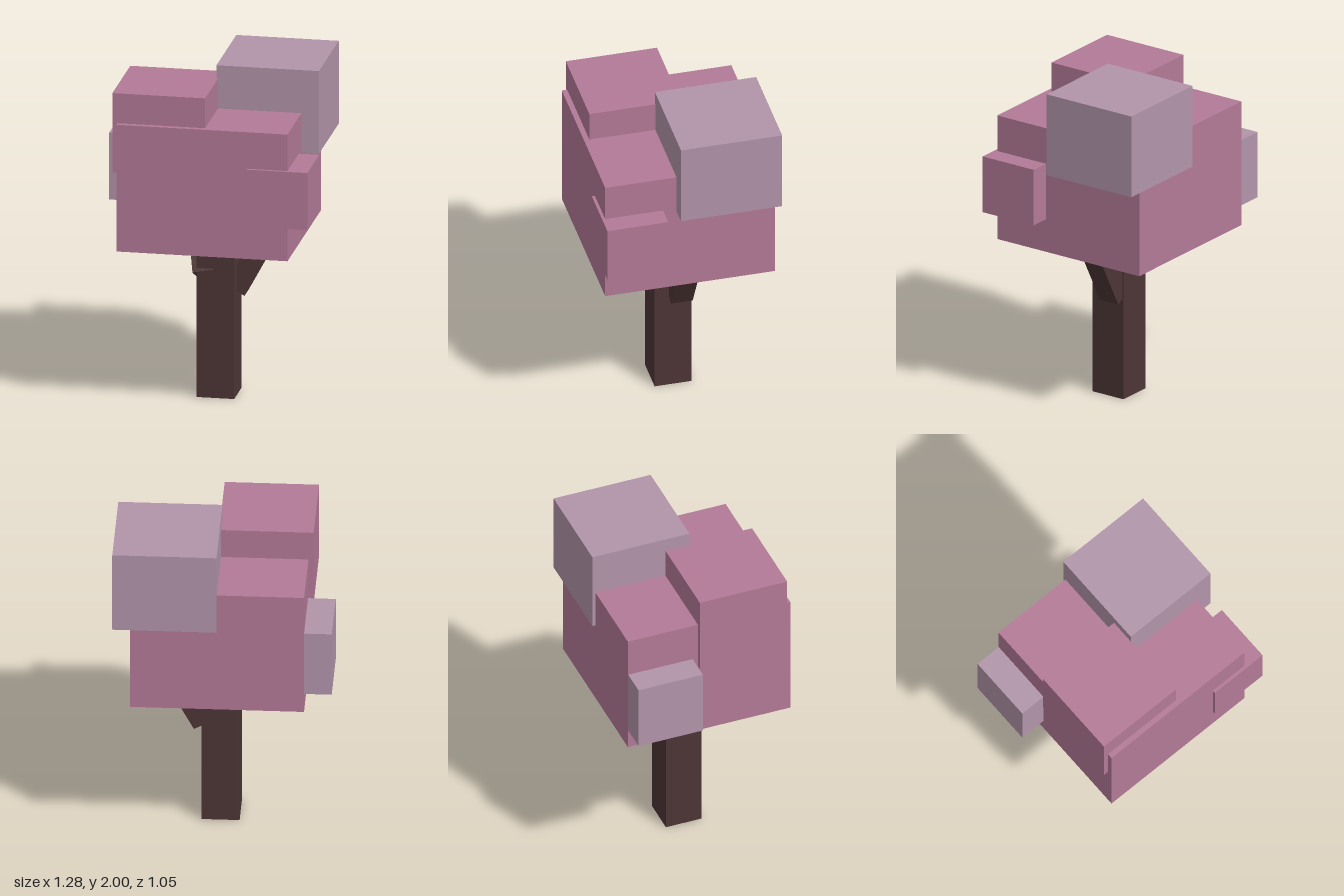
import * as THREE from 'three';

const material = (name, color) => {
  const m = new THREE.MeshStandardMaterial({ color, side: THREE.DoubleSide });
  m.name = name;
  return m;
};

// Hollow block without its underside, given by its lower and upper corners
function openBlock([x0, y0, z0], [x1, y1, z1]) {
  const geometry = new THREE.BoxGeometry(x1 - x0, y1 - y0, z1 - z0);
  const index = Array.from(geometry.index.array);
  index.splice(18, 6); // the -y face
  geometry.setIndex(index);
  geometry.clearGroups();
  geometry.translate((x0 + x1) / 2, (y0 + y1) / 2, (z0 + z1) / 2);
  return geometry;
}

export function createModel() {
  const tree = new THREE.Group();
  tree.name = 'blockTree';

  const bark = material('darkBark', 0x4d3535);
  const pink = material('pinkBlossom', 0xb37a97);
  const mauve = material('mauveBlossom', 0xb295aa);

  const add = (name, geometry, mat) => {
    const mesh = new THREE.Mesh(geometry, mat);
    mesh.name = name;
    tree.add(mesh);
    return mesh;
  };

  // Trunk, reaching up inside the crown
  add('trunk', new THREE.BoxGeometry(0.22, 1.14, 0.22), bark).position.set(0.02, 0.57, 0);

  // Two leaning branches
  const branch = new THREE.BoxGeometry(0.125, 0.36, 0.13);
  const left = add('leftBranch', branch, bark);
  left.position.set(0.205, 0.788, -0.04);
  left.rotation.z = THREE.MathUtils.degToRad(-28.4);
  const right = add('rightBranch', branch, bark);
  right.position.set(-0.082, 0.894, -0.018);
  right.rotation.set(THREE.MathUtils.degToRad(-26), 0, THREE.MathUtils.degToRad(10));

  // Crown of overlapping foliage blocks, open underneath
  const foliage = [
    ['mainFoliage', [-0.485, 0.975, -0.505], [0.52, 1.74, 0.505], pink],
    ['upperRightFoliage', [-0.515, 1.44, -0.07], [0.03, 1.92, 0.473], pink],
    ['lowerLeftFoliage', [0.28, 1.175, 0.16], [0.64, 1.52, 0.523], pink],
    ['upperLeftFoliage', [0.02, 1.5, -0.523], [0.622, 2, 0.08], mauve],
    ['lowerRightFoliage', [-0.645, 1.095, -0.503], [-0.26, 1.5, -0.103], mauve],
  ];
  for (const [name, low, high, mat] of foliage) add(name, openBlock(low, high), mat);

  return tree;
}
